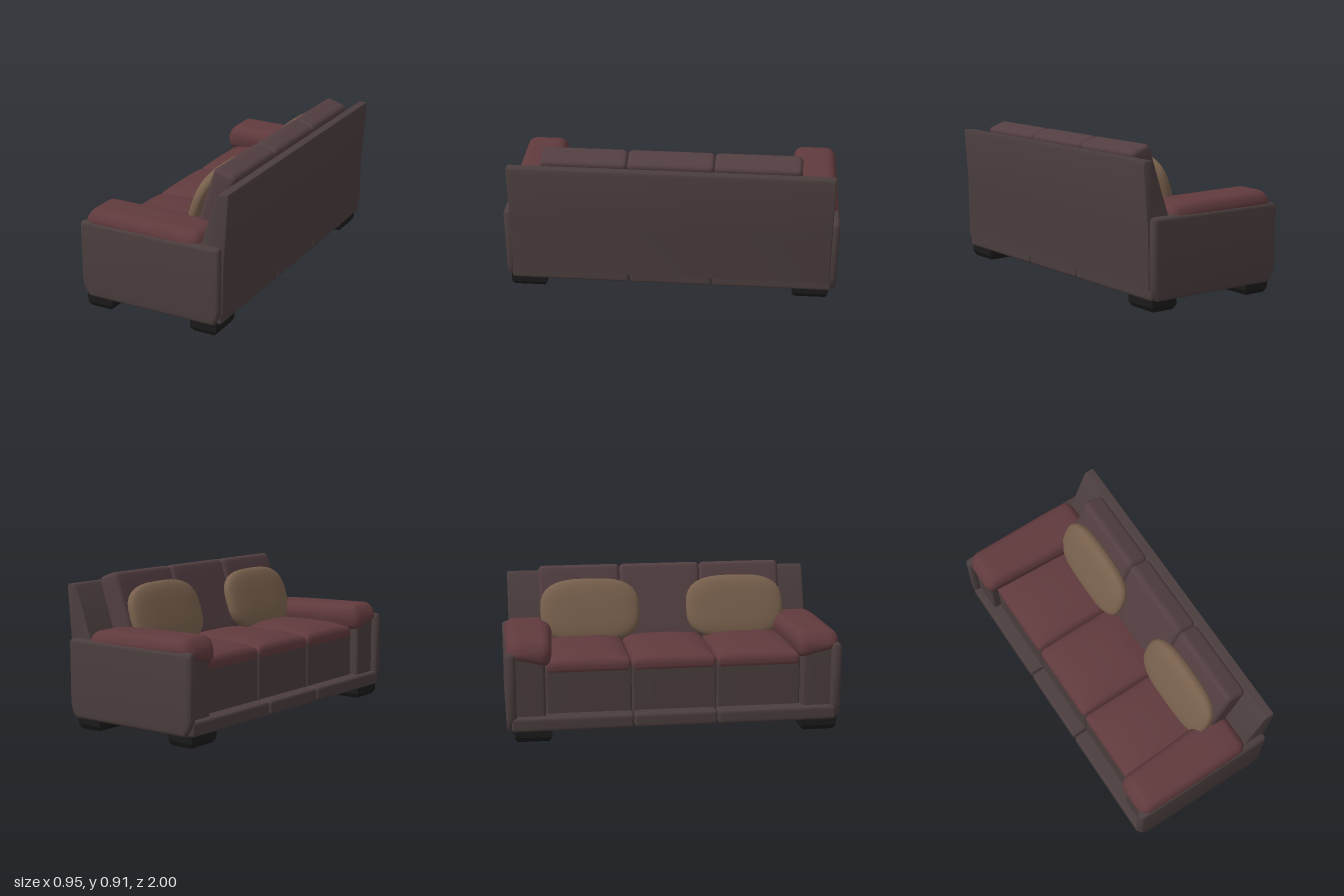
import * as THREE from 'three';
import { mergeVertices, toCreasedNormals } from 'three/addons/utils/BufferGeometryUtils.js';

const mat = (color) => new THREE.MeshStandardMaterial({ color });
const LEAN = -0.327;

// Applies a rule to every vertex and smooths the result
function warp(geo, rule) {
  geo.deleteAttribute('uv');
  geo.deleteAttribute('normal');
  const p = geo.attributes.position;
  const v = new THREE.Vector3();
  for (let i = 0; i < p.count; i++) {
    rule(v.fromBufferAttribute(p, i));
    p.setXYZ(i, v.x, v.y, v.z);
  }
  const merged = mergeVertices(geo, 1e-5);
  merged.computeVertexNormals();
  return merged;
}

// Soft-edged box given by its limits, optionally reshaped by a rule
// that receives the vertex and its position from -1 to 1 on each axis
function softBox([x0, x1], [y0, y1], [z0, z1], r, rule) {
  const half = new THREE.Vector3(x1 - x0, y1 - y0, z1 - z0).multiplyScalar(0.5);
  const mid = new THREE.Vector3(x0 + x1, y0 + y1, z0 + z1).multiplyScalar(0.5);
  const core = half.clone().subScalar(r);
  const low = core.clone().negate();
  const n = 12;
  // Grid lines crowd towards the edges so that the rounding is smooth
  const spread = (t, h, c) => {
    const a = Math.abs(t / h);
    return Math.sign(t) * (a > 0.6 ? c + (h - c) * (a - 0.6) / 0.4 : c * a / 0.6);
  };
  return warp(new THREE.BoxGeometry(half.x * 2, half.y * 2, half.z * 2, n, n, n), (v) => {
    v.set(spread(v.x, half.x, core.x), spread(v.y, half.y, core.y), spread(v.z, half.z, core.z));
    const inner = v.clone().clamp(low, core);
    v.sub(inner);
    if (v.lengthSq() > 1e-12) v.setLength(r);
    v.add(inner);
    const u = v.clone().divide(half);
    v.add(mid);
    if (rule) rule(v, u);
  });
}

// Side profile in x and y, extruded along z between two limits with a rounded rim
function profile(points, z0, z1, bevel) {
  const shape = new THREE.Shape(points.map(([x, y]) => new THREE.Vector2(x, y)));
  const geo = new THREE.ExtrudeGeometry(shape, {
    depth: z1 - z0 - 2 * bevel, bevelThickness: bevel, bevelSize: bevel,
    bevelOffset: -bevel, bevelSegments: 4,
  });
  geo.translate(0, 0, z0 + bevel);
  return toCreasedNormals(geo, 0.7);
}

// Throw pillow: a rounded octagonal cushion, thin along x
function pillowGeometry() {
  const pow = (t, e) => Math.sign(t) * Math.pow(Math.abs(t), e);
  const geo = new THREE.SphereGeometry(1, 32, 20);
  geo.rotateZ(Math.PI / 2);
  return warp(geo, (v) => {
    const ring = Math.hypot(v.y, v.z);
    const a = Math.atan2(v.y, v.z);
    const rim = ring < 1e-6 ? 0 : Math.pow(ring, 0.65);
    v.set(0.052 * pow(v.x, 0.7), 0.2 * rim * pow(Math.sin(a), 0.68), 0.31 * rim * pow(Math.cos(a), 0.68));
  });
}

export function createModel() {
  const model = new THREE.Group();
  const frame = mat(0x4a3d3d);
  const backFabric = mat(0x523e41);
  const seatFabric = mat(0x603a3d);
  const pillowFabric = mat(0x775f4c);
  const black = mat(0x1a1a1a);

  const add = (name, geo, material) => {
    const mesh = new THREE.Mesh(geo, material);
    mesh.name = name;
    model.add(mesh);
    return mesh;
  };

  // Base rail in three sections
  for (const [z0, z1] of [[-0.97, -0.253], [-0.247, 0.247], [0.253, 0.97]]) {
    add('baseRail', softBox([-0.475, 0.43], [0.07, 0.155], [z0, z1], 0.018), frame);
  }

  // Three seats, each with a front panel, a domed cushion and a back cushion
  for (const z of [-0.51, 0, 0.51]) {
    const span = [z - 0.254, z + 0.254];
    add('seatFront', softBox([-0.39, 0.3], [0.13, 0.44], span, 0.015), frame);
    add('seatCushion', softBox([-0.395, 0.2], [0.39, 0.47], span, 0.03, (v, u) => {
      if (u.y > 0) v.y += 0.045 * u.y * (1 - u.x ** 4) * (1 - u.z ** 4);
    }), seatFabric);
    const back = add('backCushion', softBox([-0.072, 0.072], [-0.24, 0.24], [-0.256, 0.256], 0.032), backFabric);
    back.position.set(0.27, 0.668, z);
    back.rotation.z = LEAN;
  }

  // Sloping back rest
  add('backRest', profile([
    [0.15, 0.13], [0.437, 0.13], [0.444, 0.45], [0.474, 0.83], [0.468, 0.85],
    [0.418, 0.85], [0.405, 0.835], [0.3, 0.54], [0.15, 0.5],
  ], -0.957, 0.957, 0.008), frame);

  // Arms: outer panel, inner body and padded top
  const outline = [
    [-0.43, 0.07], [0.395, 0.07], [0.42, 0.11], [0.432, 0.16], [0.432, 0.515], [0.425, 0.532], [0.4, 0.54],
    [-0.445, 0.54], [-0.468, 0.532], [-0.475, 0.515], [-0.475, 0.16], [-0.46, 0.11],
  ];
  const sorted = (a, b) => (a < b ? [a, b] : [b, a]);
  for (const s of [1, -1]) {
    const [p0, p1] = sorted(s * 0.94, s);
    add('armPanel', profile(outline, p0, p1, 0.024), frame);
    add('armBody', softBox([-0.435, 0.4], [0.08, 0.53], sorted(s * 0.768, s * 0.965), 0.02), frame);
    add('armPad', softBox([-0.46, 0.3], [0.47, 0.613], sorted(s * 0.71, s * 0.99), 0.065, (v, u) => {
      const out = u.z * s;
      // Lower on the inside, lower towards the back, with slanted ends
      if (u.y < 0) v.y -= 0.035 * u.y * out;
      v.y -= 0.007 * (u.x + 0.7);
      if (u.x < -0.7) v.x += 0.025 * (u.y + 0.3) * (-u.x - 0.7) / 0.3;
      if (u.x > 0.5 && u.y > 0) v.y -= 0.02 * (u.x - 0.5);
      if (out < 0) v.z += s * 0.02 * out * u.x;
    }), seatFabric);
  }

  // Two leaning pillows
  for (const z of [-0.455, 0.46]) {
    const pillow = add('pillow', pillowGeometry(), pillowFabric);
    pillow.position.set(0.148, 0.65, z);
    pillow.rotation.z = LEAN;
  }

  // Four block feet, narrowing at the floor
  for (const x of [-0.365, 0.322]) {
    for (const z of [-0.845, 0.87]) {
      const foot = add('foot', toCreasedNormals(warp(new THREE.BoxGeometry(0.168, 0.085, 0.218, 1, 3, 1), (v) => {
        if (v.y < -0.03) { v.x *= 0.8; v.z *= 0.86; }
      }), 0.4), black);
      foot.position.set(x, 0.0425, z);
    }
  }
  return model;
}
